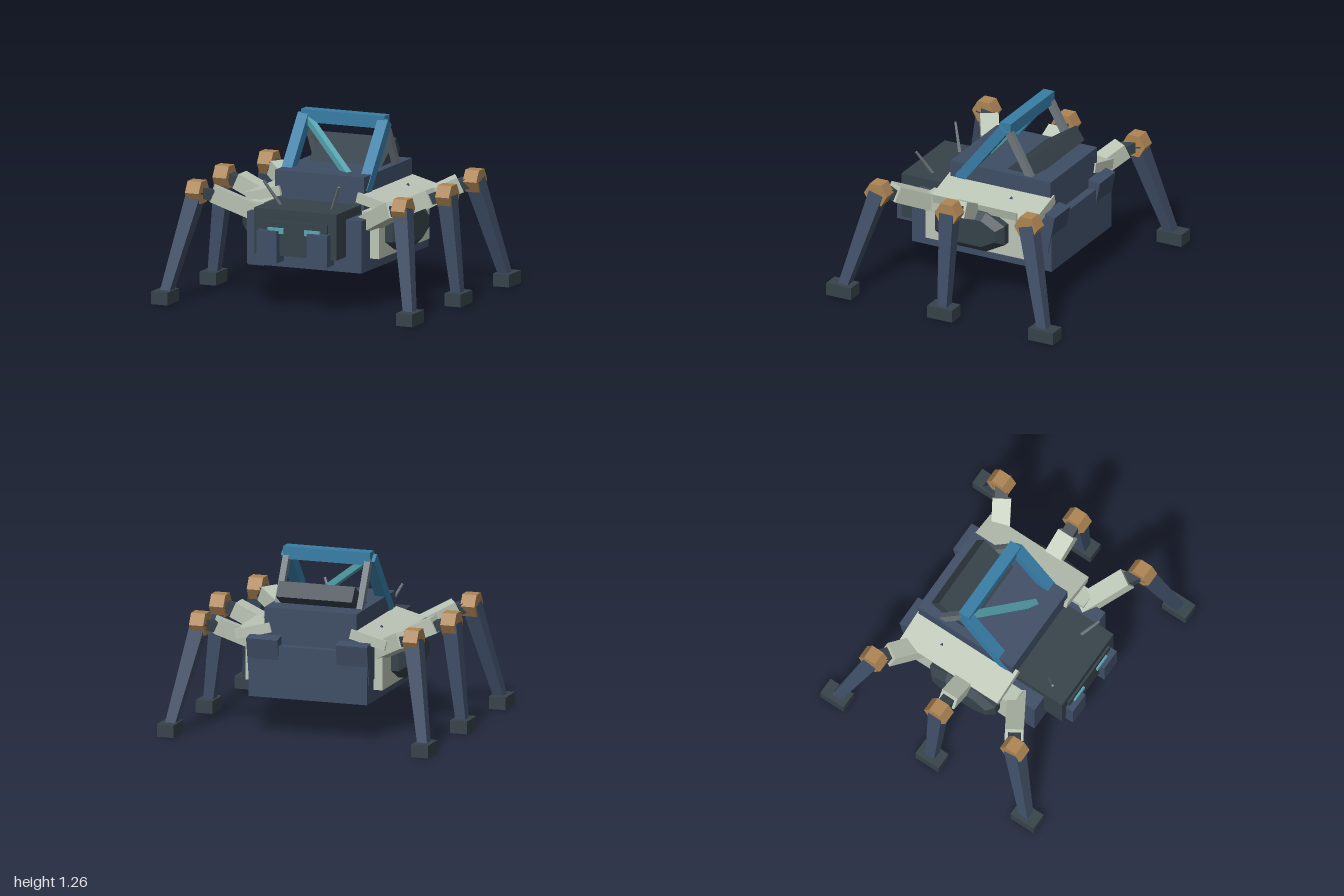
import * as THREE from 'three';

const mat = (name, color) => {
  const m = new THREE.MeshStandardMaterial({ color });
  m.name = name;
  m.flatShading = true;
  return m;
};

export function createModel() {
  const root = new THREE.Group();
  root.name = 'sixLeggedWalker';
  const navy = mat('navy', 0x3f4e66), dark = mat('charcoal', 0x36424a), pale = mat('paleArmour', 0xbcc6b6);
  const tan = mat('tan', 0xae8554), blue = mat('blue', 0x377da6), teal = mat('teal', 0x58a8b4), grey = mat('grey', 0x6d777e);
  const V = (x, y, z) => new THREE.Vector3(x, y, z);

  const add = (name, geo, material, pos = [0, 0, 0], rot = [0, 0, 0], parent = root) => {
    const m = new THREE.Mesh(geo, material);
    m.name = name;
    m.position.set(...pos);
    m.rotation.set(...rot);
    parent.add(m);
    return m;
  };
  const box = (name, material, size, pos, rot, parent) =>
    add(name, new THREE.BoxGeometry(...size), material, pos, rot, parent);

  // Box beam between two points, w wide and t tall, kept level sideways
  const beam = (name, material, a, b, w, t, parent = root) => {
    const m = box(name, material, [w, t, a.distanceTo(b)], [0, 0, 0], [0, 0, 0], parent);
    m.position.copy(a).lerp(b, 0.5);
    m.lookAt(b);
    return m;
  };

  // Hull
  box('lowerHull', navy, [0.875, 0.37, 1.1], [0, 0.452, -0.03]);
  box('upperHull', navy, [0.68, 0.32, 0.79], [0, 0.735, -0.125]);

  // Head with face plate
  box('head', dark, [0.635, 0.325, 0.42], [0, 0.5375, 0.46]);
  box('facePlate', dark, [0.5, 0.23, 0.03], [0, 0.505, 0.67]);

  // Eight-sided side pod with bevelled rim
  const podShape = new THREE.Shape([
    [0.115, -0.098], [0.225, -0.04], [0.225, 0.04], [0.115, 0.098],
    [-0.115, 0.098], [-0.225, 0.04], [-0.225, -0.04], [-0.115, -0.098],
  ].map(([x, y]) => new THREE.Vector2(x, y)));
  const podGeo = new THREE.ExtrudeGeometry(podShape, {
    depth: 0.09, bevelEnabled: true, bevelSize: 0.05, bevelThickness: 0.05, bevelSegments: 1,
  });
  podGeo.center().rotateY(Math.PI / 2);

  const finGeo = new THREE.CylinderGeometry(0.004, 0.05, 0.07, 3);

  for (const s of [1, -1]) {
    const side = s > 0 ? 'left' : 'right';
    // Armour and pods
    box(side + 'SidePlate', pale, [0.13, 0.33, 0.83], [s * 0.44, 0.515, -0.035]);
    box(side + 'ShoulderPlate', pale, [0.27, 0.07, 0.825], [s * 0.425, 0.72, -0.118], [0, 0, -s * 0.255]);
    add(side + 'Pod', podGeo, dark, [s * 0.515, 0.523, 0]);
    add(side + 'Fin', finGeo, navy, [s * 0.43, 0.735, -0.26], [0, s * 0.5, 0]);
    box(side + 'RearBlock', navy, [0.23, 0.28, 0.15], [s * 0.33, 0.56, -0.508], [-0.19, 0, 0]);

    // Face details
    box(side + 'Mandible', navy, [0.155, 0.225, 0.12], [s * 0.1925, 0.4425, 0.67]);
    box(side + 'Eye', teal, [0.12, 0.04, 0.02], [s * 0.14, 0.555, 0.69]);
    const base = V(s * 0.19, 0.68, 0.48), tip = V(s * 0.287, 0.875, 0.57);
    const antenna = add(side + 'Antenna', new THREE.CylinderGeometry(0.009, 0.013, base.distanceTo(tip), 6), grey);
    antenna.position.copy(base).lerp(tip, 0.5);
    antenna.quaternion.setFromUnitVectors(V(0, 1, 0), tip.clone().sub(base).normalize());

    // Roll cage uprights and rear struts
    beam(side + 'CageUpright', blue, V(s * 0.305, 0.77, 0.205), V(s * 0.305, 1.215, -0.145), 0.08, 0.075);
    beam(side + 'CageStrut', grey, V(s * 0.3, 1.2, -0.165), V(s * 0.3, 0.84, -0.365), 0.045, 0.05);

    // Legs: thigh, connector, knee, shin, foot
    for (const f of [1, 0, -1]) {
      const leg = new THREE.Group();
      leg.name = side + ['Rear', 'Middle', 'Front'][f + 1] + 'Leg';
      root.add(leg);
      const knee = f ? V(s * 0.7875, 0.762, f * 0.592) : V(s * 0.8525, 0.762, 0);
      const thighEnd = f ? V(s * 0.7, 0.745, f * 0.527) : V(s * 0.74, 0.745, 0);
      const hip = f ? V(s * 0.4, 0.585, f * 0.345) : V(s * 0.42, 0.6, 0);
      const ankle = V(s * 0.932, 0.07, f * 0.787);
      beam('thigh', pale, hip, thighEnd, 0.13, 0.115, leg);
      beam('connector', dark, hip.clone().lerp(thighEnd, 0.8), knee, 0.09, 0.075, leg);
      add('knee', new THREE.CylinderGeometry(0.09, 0.09, 0.105, 6).rotateZ(Math.PI / 2), tan,
        knee.toArray(), [0, 0, 0], leg);
      const shinGeo = new THREE.CylinderGeometry(0.055 * Math.SQRT2, 0.036 * Math.SQRT2, knee.distanceTo(ankle), 4);
      const shin = add('shin', shinGeo.rotateY(Math.PI / 4), navy, [0, 0, 0], [0, 0, 0], leg);
      shin.position.copy(knee).lerp(ankle, 0.5);
      shin.quaternion.setFromUnitVectors(V(0, 1, 0), knee.clone().sub(ankle).normalize());
      box('foot', dark, [0.125, 0.09, 0.195], [s * 0.9375, 0.045, f * 0.797], [0, 0, 0], leg);
    }
  }

  // Cage top bar, diagonal brace and tilted rear box
  box('cageTopBar', blue, [0.64, 0.09, 0.085], [0, 1.215, -0.152]);
  beam('cageBrace', teal, V(-0.28, 1.2, -0.135), V(0.16, 0.87, 0.135), 0.045, 0.045);
  box('rearPowerBox', dark, [0.56, 0.118, 0.4], [0, 0.897, -0.254], [0.588, 0, 0]);

  return root;
}
